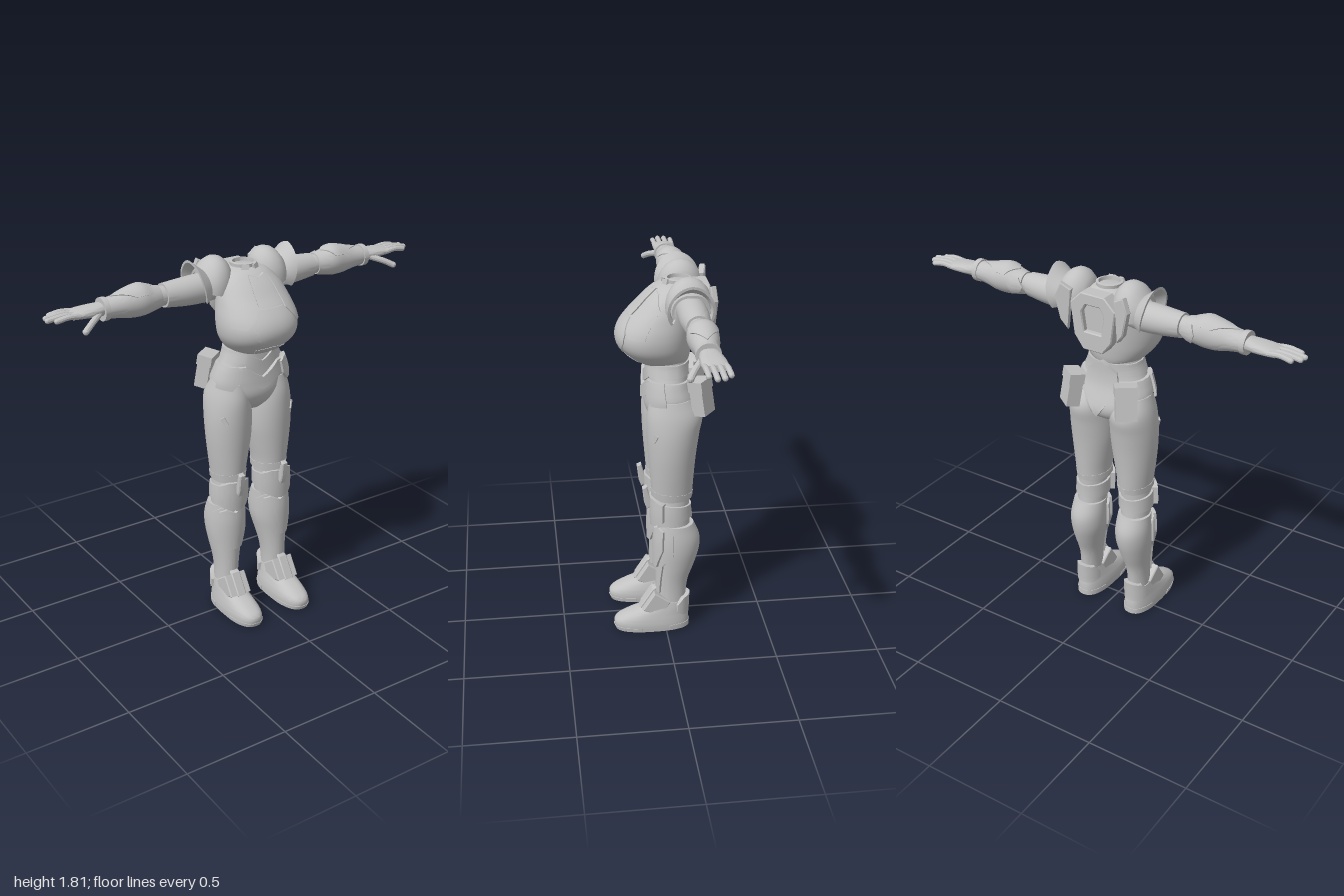
import * as THREE from 'three';
import { toCreasedNormals } from 'three/addons/utils/BufferGeometryUtils.js';

const PI = Math.PI;
const armour = new THREE.MeshStandardMaterial({ color: 0xc2c2c2, side: THREE.DoubleSide });
armour.name = 'light grey armour';

// Smooth body surface from rings [height, centreX, radiusX, zFront, zBack]; angle 0 faces +z
function surface(rings, n = 2) {
  const R = rings[0][0] < rings[rings.length - 1][0] ? rings : [...rings].reverse();
  const last = R.length - 1;
  const slope = (i, k) => {
    const a = R[Math.max(i - 1, 0)], b = R[Math.min(i + 1, last)];
    return (b[k] - a[k]) / (b[0] - a[0]);
  };
  const at = (y, k) => {
    let i = 0;
    while (i < last - 1 && y > R[i + 1][0]) i++;
    const h = R[i + 1][0] - R[i][0], t = Math.min(1, Math.max(0, (y - R[i][0]) / h));
    const t2 = t * t, t3 = t2 * t;
    return (2 * t3 - 3 * t2 + 1) * R[i][k] + (t3 - 2 * t2 + t) * h * slope(i, k)
      + (3 * t2 - 2 * t3) * R[i + 1][k] + (t3 - t2) * h * slope(i + 1, k);
  };
  const pw = v => Math.sign(v) * Math.abs(v) ** (2 / n);
  const point = (a, y, off = 0) => {
    const f = at(y, 3), b = at(y, 4);
    return [at(y, 1) + (at(y, 2) + off) * pw(Math.sin(a)), y, (f + b) / 2 + ((f - b) / 2 + off) * pw(Math.cos(a))];
  };
  return { R, point };
}

// Grid of points to triangles, optionally closed with end caps
function grid(rows, caps) {
  const pos = rows.flat(2), idx = [], w = rows[0].length;
  for (let j = 0; j < rows.length - 1; j++) for (let i = 0; i < w - 1; i++) {
    const a = j * w + i, b = a + w;
    idx.push(a, a + 1, b + 1, a, b + 1, b);
  }
  if (caps) for (const j of [0, rows.length - 1]) {
    const c = pos.length / 3, r = rows[j];
    pos.push((r[0][0] + r[w >> 1][0]) / 2, r[0][1], (r[0][2] + r[w >> 1][2]) / 2);
    for (let i = 0; i < w - 1; i++) {
      const a = j * w + i;
      if (j) idx.push(a, a + 1, c); else idx.push(a + 1, a, c);
    }
  }
  const g = new THREE.BufferGeometry();
  g.setAttribute('position', new THREE.Float32BufferAttribute(pos, 3));
  g.setIndex(idx);
  return g;
}

function loft(s, off = 0, seg = 40) {
  const ys = [];
  s.R.forEach((r, i) => {
    if (i) for (let k = 1; k <= 4; k++) ys.push(s.R[i - 1][0] + (r[0] - s.R[i - 1][0]) * k / 4);
    else ys.push(r[0]);
  });
  return grid(ys.map(y => Array.from({ length: seg + 1 }, (_, i) => s.point(i / seg * 2 * PI, y, off))), true);
}

// Raised plate that follows a surface; columns are [angle, low, high]
function plate(s, cols, off, sink = 0.012) {
  const c = [];
  cols.forEach((q, i) => {
    if (!i) return c.push(q);
    for (let k = 1; k <= 6; k++) c.push(q.map((v, m) => cols[i - 1][m] + (v - cols[i - 1][m]) * k / 6));
  });
  const M = 10, rows = [];
  for (let j = -1; j <= M + 1; j++) {
    const t = Math.min(M, Math.max(0, j)) / M, row = [];
    for (let i = -1; i <= c.length; i++) {
      const q = c[Math.min(c.length - 1, Math.max(0, i))];
      const edge = j < 0 || j > M || i < 0 || i === c.length;
      row.push(s.point(q[0], q[1] + (q[2] - q[1]) * t, edge ? off - sink : off));
    }
    rows.push(row);
  }
  return grid(rows);
}
const sym = half => [...half.slice().reverse().filter(q => q[0] > 0).map(q => [-q[0], q[1], q[2]]), ...half];
const behind = half => sym(half).map(q => [q[0] + PI, q[1], q[2]]);

// Flat outline pushed out along an axis; 'x' takes [z, y] points, 'z' takes [x, y]
function slab(pts, depth, axis, hole) {
  const shape = new THREE.Shape(pts.map(p => new THREE.Vector2(p[0], p[1])));
  if (hole) shape.holes.push(new THREE.Path(hole.map(p => new THREE.Vector2(p[0], p[1]))));
  const g = new THREE.ExtrudeGeometry(shape, { depth: depth - 0.01, bevelSize: 0.005, bevelThickness: 0.005, bevelSegments: 1 });
  g.translate(0, 0, -depth / 2 + 0.005);
  return axis === 'x' ? g.rotateY(-PI / 2) : g;
}
const box = (w, h, d, rot, p) => new THREE.BoxGeometry(w, h, d)
  .applyMatrix4(new THREE.Matrix4().makeRotationFromEuler(new THREE.Euler(...rot, 'YXZ'))).translate(...p);

export function createModel() {
  const root = new THREE.Group();
  root.name = 'armouredBody';
  const add = (name, geo) => {
    const g = toCreasedNormals(geo, 0.6);
    const m = new THREE.Mesh(g, armour);
    m.name = name;
    root.add(m);
    return g;
  };
  // Left part plus its mirrored right partner
  const both = (name, geo) => {
    const g = add(name + 'Left', geo).clone().scale(-1, 1, 1);
    for (const at of Object.values(g.attributes)) {
      const s = at.itemSize;
      for (let i = 0; i < at.array.length; i += 3 * s) for (let k = 0; k < s; k++) {
        const v = at.array[i + s + k];
        at.array[i + s + k] = at.array[i + 2 * s + k];
        at.array[i + 2 * s + k] = v;
      }
    }
    const m = new THREE.Mesh(g, armour);
    m.name = name + 'Right';
    root.add(m);
  };

  // Pelvis, waist and belt
  const core = surface([[1.07, 0, .05, .03, -.09], [1.11, 0, .13, .065, -.15], [1.16, 0, .175, .085, -.168],
    [1.22, 0, .185, .083, -.15], [1.28, 0, .168, .08, -.128], [1.34, 0, .142, .08, -.12], [1.38, 0, .128, .08, -.12], [1.45, 0, .12, .08, -.12]], 2.2);
  add('pelvisAndWaist', loft(core));
  add('belt', plate(core, sym([[0, 1.19, 1.25], [.5, 1.235, 1.31], [1.2, 1.235, 1.31], [PI, 1.22, 1.3]]), .016, .02));
  add('waistBand', plate(core, sym([[0, 1.27, 1.33], [.6, 1.325, 1.385], [PI, 1.325, 1.385]]), .009));
  both('hipPlate', plate(core, [[.6, 1.24, 1.3], [.8, 1.2, 1.315], [1.35, 1.21, 1.315]], .026));
  add('lowerBackPlate', plate(core, behind([[0, 1.13, 1.4], [.2, 1.2, 1.38], [.45, 1.27, 1.35]]), .03, .035));
  both('pouch', box(.1, .16, .065, [-.17, 2.5, 0], [.15, 1.235, -.17]));
  both('pouchFlap', box(.106, .05, .074, [-.17, 2.5, 0], [.144, 1.295, -.162]));

  // Chest armour
  const chest = surface([[1.375, 0, .105, .105, -.12], [1.4, 0, .14, .145, -.128], [1.45, 0, .176, .198, -.135], [1.5, 0, .188, .215, -.14],
    [1.55, 0, .186, .203, -.145], [1.6, 0, .175, .167, -.15], [1.65, 0, .162, .118, -.155], [1.7, 0, .142, .07, -.16], [1.74, 0, .105, .02, -.155], [1.755, 0, .06, -.015, -.135]], 2.2);
  add('chest', loft(chest, 0, 56));
  add('breastPlate', plate(chest, sym([[0, 1.44, 1.61], [.33, 1.44, 1.61], [.6, 1.5, 1.54]]), .005));
  add('collarPlate', plate(chest, sym([[0, 1.62, 1.725], [.32, 1.62, 1.735]]), .009));
  both('upperChestPlate', plate(chest, [[.42, 1.6, 1.73], [.75, 1.53, 1.72], [1.25, 1.53, 1.66]], .005));
  add('underChestPlate', plate(chest, sym([[0, 1.39, 1.43], [.5, 1.385, 1.415]]), .004));
  add('neckRing', new THREE.LatheGeometry([[.048, 1.68], [.07, 1.68], [.06, 1.73], [.062, 1.77], [.05, 1.772], [.046, 1.72], [.048, 1.68]]
    .map(p => new THREE.Vector2(...p)), 32).translate(0, 0, -.075));
  both('collarWing', box(.035, .075, .012, [-.3, .5, .2], [.035, 1.735, -.01]));

  // Back unit
  add('backFrame', slab([[-.06, 1.745], [.06, 1.745], [.115, 1.69], [.095, 1.54], [.05, 1.48], [-.05, 1.48], [-.095, 1.54], [-.115, 1.69]], .075, 'z',
    [[-.04, 1.7], [-.065, 1.66], [-.05, 1.56], [.05, 1.56], [.065, 1.66], [.04, 1.7]]).translate(0, 0, -.178));
  add('backPanel', box(.13, .17, .04, [0, 0, 0], [0, 1.63, -.17]));
  both('backFin', slab([[.085, 1.745], [.13, 1.77], [.155, 1.71], [.13, 1.6], [.1, 1.56]], .03, 'z').rotateY(.25).translate(.04, 0, -.18));

  // Arms: surfaces run outward along the arm
  const arm = g => g.rotateZ(-PI / 2).translate(0, 1.67, 0);
  const upper = surface([[.1, 0, .06, -.045, -.17], [.2, .003, .069, -.045, -.182], [.3, .003, .066, -.045, -.18], [.41, 0, .056, -.055, -.168]]);
  both('upperArm', arm(loft(upper)));
  both('elbow', arm(loft(surface([[.38, 0, .046, -.065, -.155], [.44, 0, .046, -.065, -.155], [.5, 0, .046, -.065, -.155]]))));
  const fore = surface([[.435, 0, .052, -.06, -.165], [.48, 0, .062, -.048, -.175], [.53, -.004, .074, -.04, -.18], [.59, 0, .068, -.045, -.175], [.65, .002, .054, -.052, -.163], [.71, .003, .046, -.057, -.155]]);
  both('forearm', arm(loft(fore)));
  both('forearmPlate', arm(plate(fore, [[-2.6, .52, .57], [-PI / 2, .47, .68], [-.5, .52, .57]], .005)));
  both('elbowGuard', arm(plate(fore, behind([[0, .42, .5], [.7, .45, .48]]), .008)));
  both('wristRing', arm(loft(surface([[.703, .002, .053, -.05, -.16], [.715, .002, .054, -.05, -.161], [.728, .002, .053, -.05, -.16]]))));

  // Hands
  both('palm', arm(loft(surface([[.71, 0, .03, -.068, -.147], [.77, 0, .026, -.058, -.162], [.83, 0, .021, -.056, -.168], [.875, .002, .015, -.06, -.165]], 2.4))));
  const limb = (r, ...p) => {
    const pts = p.map(q => new THREE.Vector3(...q));
    const s = new THREE.TubeGeometry(new THREE.CatmullRomCurve3(pts), 8, r, 10);
    const e = new THREE.SphereGeometry(r, 10, 8).translate(...p[p.length - 1]);
    return [s, e];
  };
  [[-.068, .955], [-.097, .985], [-.127, .98], [-.156, .95]].forEach(([z, x], i) =>
    limb(.0125, [.84, 1.67, z], [.9, 1.676, z * 1.01], [x, 1.668, z * 1.03])
      .forEach((g, k) => both((k ? 'fingertip' : 'finger') + (i + 1), g)));
  limb(.015, [.75, 1.66, -.075], [.81, 1.638, -.035], [.85, 1.617, -.012]).forEach((g, k) => both(k ? 'thumbTip' : 'thumb', g));

  // Shoulder guards with a flared arch rim
  const dome = surface([[.065, -.03, .05, -.06, -.15], [.09, -.02, .1, -.025, -.185], [.13, -.01, .133, 0, -.21], [.18, -.01, .12, 0, -.21], [.225, -.01, .07, -.03, -.185]]);
  const rim = surface([[.195, -.005, .075, -.02, -.19], [.235, -.005, .105, 0, -.207], [.272, -.005, .136, .012, -.22]]);
  const top = -PI / 2;
  both('shoulderGuard', arm(plate(dome, [[top - 1.8, .07, .21], [top, .067, .222], [top + 1.8, .07, .21]], 0)));
  both('shoulderRim', arm(plate(rim, [[top - 2.1, .2, .235], [top - 1.1, .2, .26], [top, .2, .272], [top + 1.1, .2, .26], [top + 2.1, .2, .235]], 0)));

  // Thighs
  const thigh = surface([[1.22, .105, .085, .065, -.13], [1.14, .112, .103, .083, -.178], [1.05, .114, .112, .085, -.166], [.95, .115, .11, .08, -.152],
    [.85, .118, .098, .072, -.142], [.77, .12, .086, .065, -.136], [.71, .119, .08, .06, -.132]]);
  both('thigh', loft(thigh));
  both('thighCuff', plate(thigh, [[-PI, .715, .74], [0, .715, .76], [PI, .715, .74]], .004));
  both('thighClip', box(.022, .042, .016, [0, .75, -.5], [.188, 1.05, .05]));

  // Knees
  const knee = surface([[.54, .128, .07, .035, -.125], [.64, .126, .072, .04, -.118], [.73, .122, .07, .04, -.12]]);
  both('kneeJoint', loft(knee));
  both('kneeBand', plate(knee, sym([[0, .605, .69], [1.2, .61, .69], [PI, .61, .675]]), .011, .02));
  both('kneePad', plate(knee, sym([[0, .565, .72], [.5, .58, .72], [1, .61, .7]]), .034, .035));
  both('kneeFin', slab([[.04, .69], [.085, .66], [.095, .69], [.104, .765], [.09, .77], [.075, .71]], .032, 'x').translate(.124, 0, 0));

  // Shins
  const shin = surface([[.575, .13, .08, .025, -.14], [.5, .132, .086, .035, -.17], [.43, .133, .084, .037, -.168], [.35, .137, .07, .036, -.145],
    [.27, .14, .056, .036, -.116], [.2, .142, .05, .036, -.105], [.1, .144, .05, .036, -.1]]);
  both('shin', loft(shin));
  both('shinPlate', plate(shin, sym([[0, .2, .53], [.6, .2, .57], [.75, .36, .57], [1.25, .42, .54]]), .011));
  both('shinUpperPlate', plate(shin, sym([[0, .35, .545], [.45, .35, .565], [.8, .45, .555]]), .024, .02));
  both('heelGuard', plate(shin, behind([[0, .08, .185], [.9, .08, .175], [1.3, .1, .14]]), .02, .02));

  // Boots
  const boot = surface([[0, .142, .074, .245, -.118], [.03, .142, .076, .255, -.118], [.06, .142, .073, .245, -.117], [.09, .143, .066, .19, -.113],
    [.115, .144, .06, .125, -.11], [.15, .145, .052, .065, -.105]], 2.5);
  both('boot', loft(boot));
  both('toeSole', plate(boot, sym([[0, .002, .022], [1.35, .002, .022]]), .003, .006));
  both('heelSole', plate(boot, behind([[0, .002, .03], [1.2, .002, .03]]), .003, .006));
  both('ankleGuard', slab([[.055, .205], [.11, .12], [.02, .08], [-.015, .155]], .118, 'x').translate(.143, 0, 0));
  both('ankleTongue', slab([[.05, .22], [.062, .215], [.122, .12], [.1, .11]], .05, 'x').translate(.143, 0, 0));

  return root;
}
